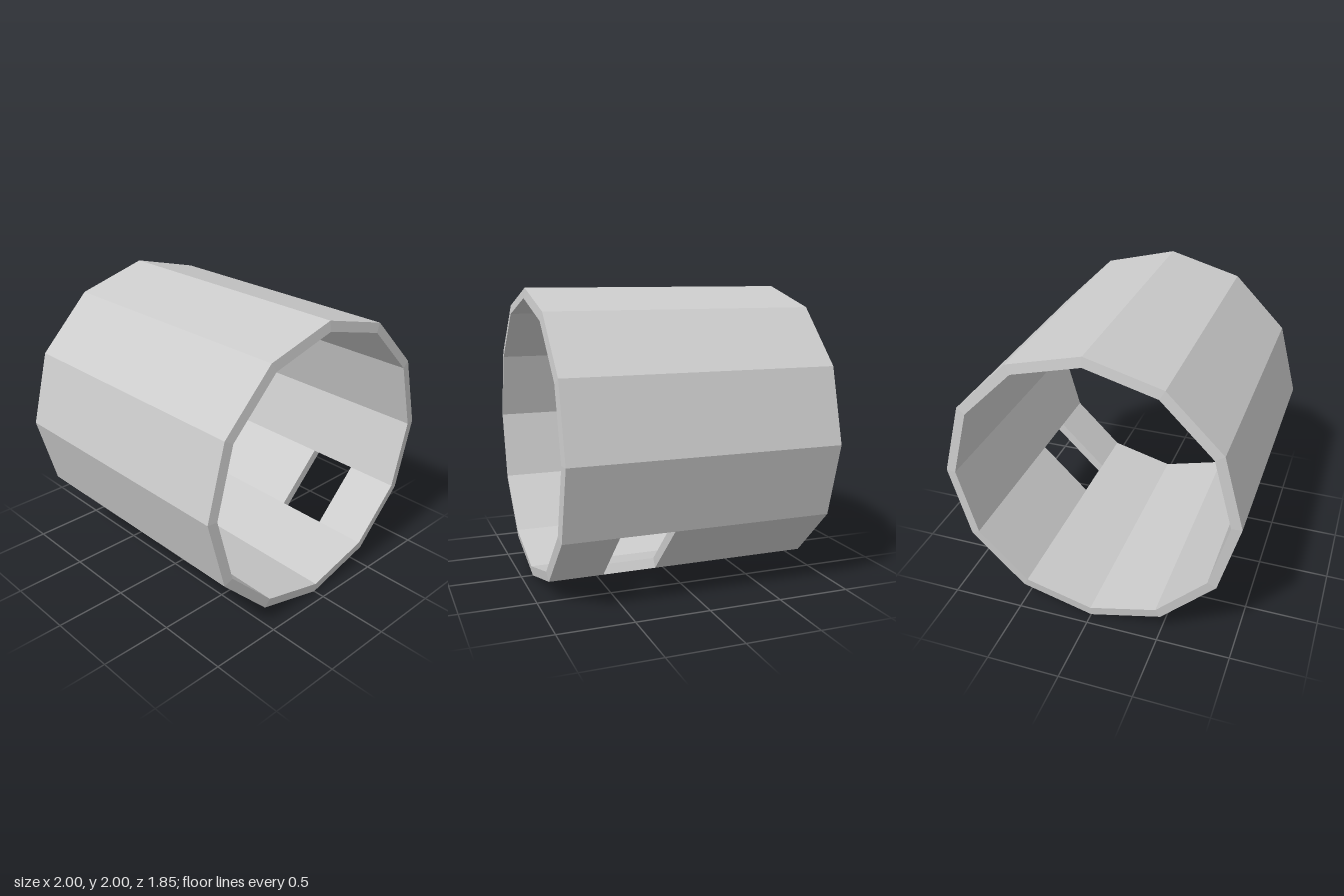
import * as THREE from 'three';

const SIDES = 12;
const OUTER = { r: 1, end: 0.918 };      // outer skin radius and half length
const INNER = { r: 0.932, end: 0.927 };  // the rims rise slightly towards the bore
const WINDOW = { side: 10, z0: 0.185, z1: 0.551 };

// corner i of a skin at depth z
function corner(skin, i, z) {
  const a = (i / SIDES) * Math.PI * 2;
  return [skin.r * Math.cos(a), skin.r * Math.sin(a), z];
}

// flat shaded mesh from a list of four-cornered faces
function quadMesh(name, quads, material) {
  const positions = quads.flatMap(([a, b, c, d]) => [...a, ...b, ...c, ...a, ...c, ...d]);
  const geometry = new THREE.BufferGeometry();
  geometry.setAttribute('position', new THREE.Float32BufferAttribute(positions, 3));
  geometry.computeVertexNormals();
  const mesh = new THREE.Mesh(geometry, material);
  mesh.name = name;
  return mesh;
}

// one flat panel of a skin between two depths, facing outward
const panel = (skin, i, z0, z1) => [
  corner(skin, i, z0), corner(skin, i + 1, z0), corner(skin, i + 1, z1), corner(skin, i, z1),
];

// the wall thickness of one side, facing +z
const edge = (i, zIn, zOut) => [
  corner(INNER, i, zIn), corner(OUTER, i, zOut), corner(OUTER, i + 1, zOut), corner(INNER, i + 1, zIn),
];

// a radial wall along the tube, facing counter-clockwise
const radial = (i, z0, z1) => [
  corner(INNER, i, z0), corner(INNER, i, z1), corner(OUTER, i, z1), corner(OUTER, i, z0),
];

const flip = (quad) => [...quad].reverse();

export function createModel() {
  const group = new THREE.Group();
  group.name = 'tube';
  const material = new THREE.MeshStandardMaterial({ color: 0xcccccc, flatShading: true });

  const outside = [], inside = [], frontRim = [], backRim = [];
  for (let i = 0; i < SIDES; i++) {
    // the side with the window is split into a part behind and a part in front of it
    const spans = (end) => (i === WINDOW.side ? [[-end, WINDOW.z0], [WINDOW.z1, end]] : [[-end, end]]);
    for (const [z0, z1] of spans(OUTER.end)) outside.push(panel(OUTER, i, z0, z1));
    for (const [z0, z1] of spans(INNER.end)) inside.push(flip(panel(INNER, i, z0, z1)));
    frontRim.push(edge(i, INNER.end, OUTER.end));
    backRim.push(flip(edge(i, -INNER.end, -OUTER.end)));
  }

  // the four cut faces around the window
  const { side, z0, z1 } = WINDOW;
  const reveal = [
    edge(side, z0, z0),
    flip(edge(side, z1, z1)),
    radial(side, z0, z1),
    flip(radial(side + 1, z0, z1)),
  ];

  group.add(
    quadMesh('outerWall', outside, material),
    quadMesh('innerWall', inside, material),
    quadMesh('frontRim', frontRim, material),
    quadMesh('backRim', backRim, material),
    quadMesh('windowReveal', reveal, material),
  );
  // lift the tube so that it rests on the floor
  group.children.forEach((mesh) => { mesh.position.y = OUTER.r; });
  return group;
}
